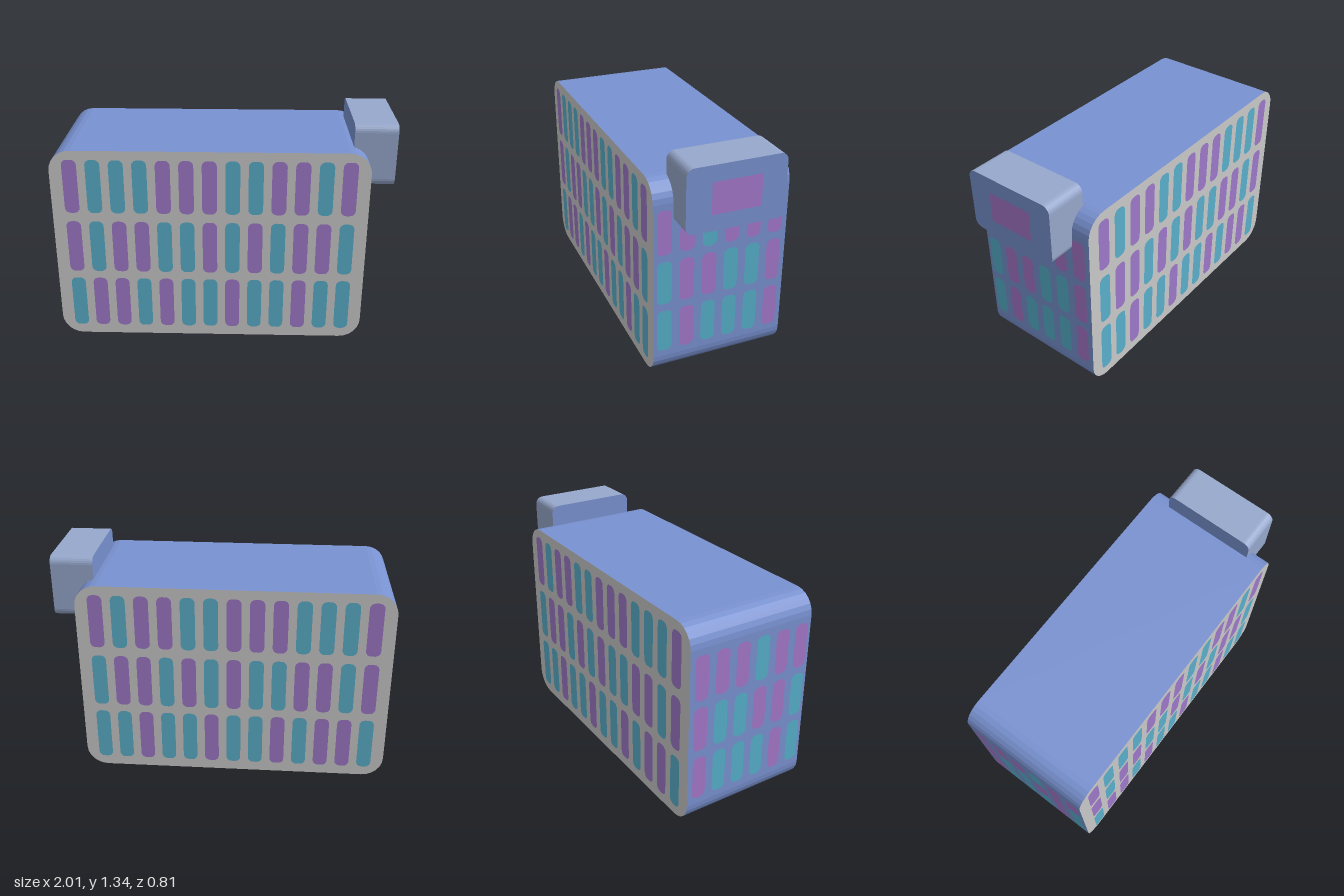
import * as THREE from 'three';

const mat = (name, color, side = THREE.FrontSide) => {
  const m = new THREE.MeshStandardMaterial({ color, side });
  m.name = name;
  return m;
};

// Rounded rectangle centred on the origin
function roundedRect(w, h, r) {
  const s = new THREE.Shape();
  const x = w / 2, y = h / 2;
  s.moveTo(-x + r, -y);
  s.absarc(x - r, -y + r, r, -Math.PI / 2, 0, false);
  s.absarc(x - r, y - r, r, 0, Math.PI / 2, false);
  s.absarc(-x + r, y - r, r, Math.PI / 2, Math.PI, false);
  s.absarc(-x + r, -y + r, r, Math.PI, Math.PI * 1.5, false);
  return s;
}

// Slab of the given depth, centred on z = 0
function slab(w, h, d, r, segments) {
  const g = new THREE.ExtrudeGeometry(roundedRect(w, h, r), { depth: d, bevelEnabled: false, curveSegments: segments });
  return g.translate(0, 0, -d / 2);
}

export function createModel() {
  const blue = mat('wallBlue', 0x7891d0);
  const grey = mat('facadeGrey', 0xc9c9c9);
  const rim = mat('signRim', 0x97a8cc);
  const purple = mat('windowPurple', 0x9f79c9);
  const cyan = mat('windowCyan', 0x5aafca);
  const pink = mat('sidePink', 0xa377c9);
  const teal = mat('sideTeal', 0x55afc8);

  const model = new THREE.Group();
  const add = (parent, name, geo, material, x, y, z, turn = 0) => {
    const mesh = new THREE.Mesh(geo, material);
    mesh.name = name;
    mesh.position.set(x, y, z);
    mesh.rotation.y = turn;
    parent.add(mesh);
    return mesh;
  };

  // Main block: grey front and back, blue wrap-around walls
  const left = 0.845, right = -1, mid = (left + right) / 2, height = 1.215, halfDepth = 0.4;
  add(model, 'building', slab(left - right, height, halfDepth * 2, 0.125, 3), [grey, blue], mid, height / 2, 0);

  // Sign box on the upper left edge
  const sign = new THREE.Group();
  sign.name = 'sign';
  add(sign, 'signBox', slab(0.57, 0.372, 0.25, 0.045, 3), [blue, rim], 0.875, 1.156, 0, Math.PI / 2);
  add(sign, 'signPanel', new THREE.PlaneGeometry(0.285, 0.185), pink, 1.002, 1.157, 0, Math.PI / 2);
  model.add(sign);

  // Front and back windows, rows from the top (P purple, C cyan)
  const facadeRows = ['PCCCPPPCCPPCP', 'PCPPCCPCPCPPC', 'CPPCPCCPCCPCC'];
  const facadeY = [0.995, 0.608, 0.228];
  const facadeWindow = new THREE.ShapeGeometry(roundedRect(0.086, 0.333, 0.032), 2);
  const facade = new THREE.Group();
  facade.name = 'facadeWindows';
  facadeRows.forEach((row, r) => [...row].forEach((c, i) => {
    const x = mid + (i - 6) * 0.134;
    const m = c === 'P' ? purple : cyan;
    add(facade, 'frontWindow', facadeWindow, m, x, facadeY[r], halfDepth + 0.003, 0);
    add(facade, 'backWindow', facadeWindow, m, x, facadeY[r], -halfDepth - 0.003, Math.PI);
  }));
  model.add(facade);

  // End wall windows, listed from front to back
  const endRows = ['PPCPPP', 'CPPCCP', 'CPCCCP'];
  const endY = [0.921, 0.611, 0.299];
  const endWindow = new THREE.ShapeGeometry(roundedRect(0.086, 0.268, 0.032), 2);
  const ends = new THREE.Group();
  ends.name = 'endWindows';
  endRows.forEach((row, r) => [...row].forEach((c, i) => {
    const z = 0.336 - i * 0.1325;
    const m = c === 'P' ? pink : teal;
    add(ends, 'leftWindow', endWindow, m, left + 0.003, endY[r], z, Math.PI / 2);
    add(ends, 'rightWindow', endWindow, m, right - 0.003, endY[r], z, -Math.PI / 2);
  }));
  model.add(ends);

  // Centre on x and stand on the ground
  const box = new THREE.Box3().setFromObject(model);
  model.position.set(-(box.min.x + box.max.x) / 2, -box.min.y, 0);
  return model;
}
